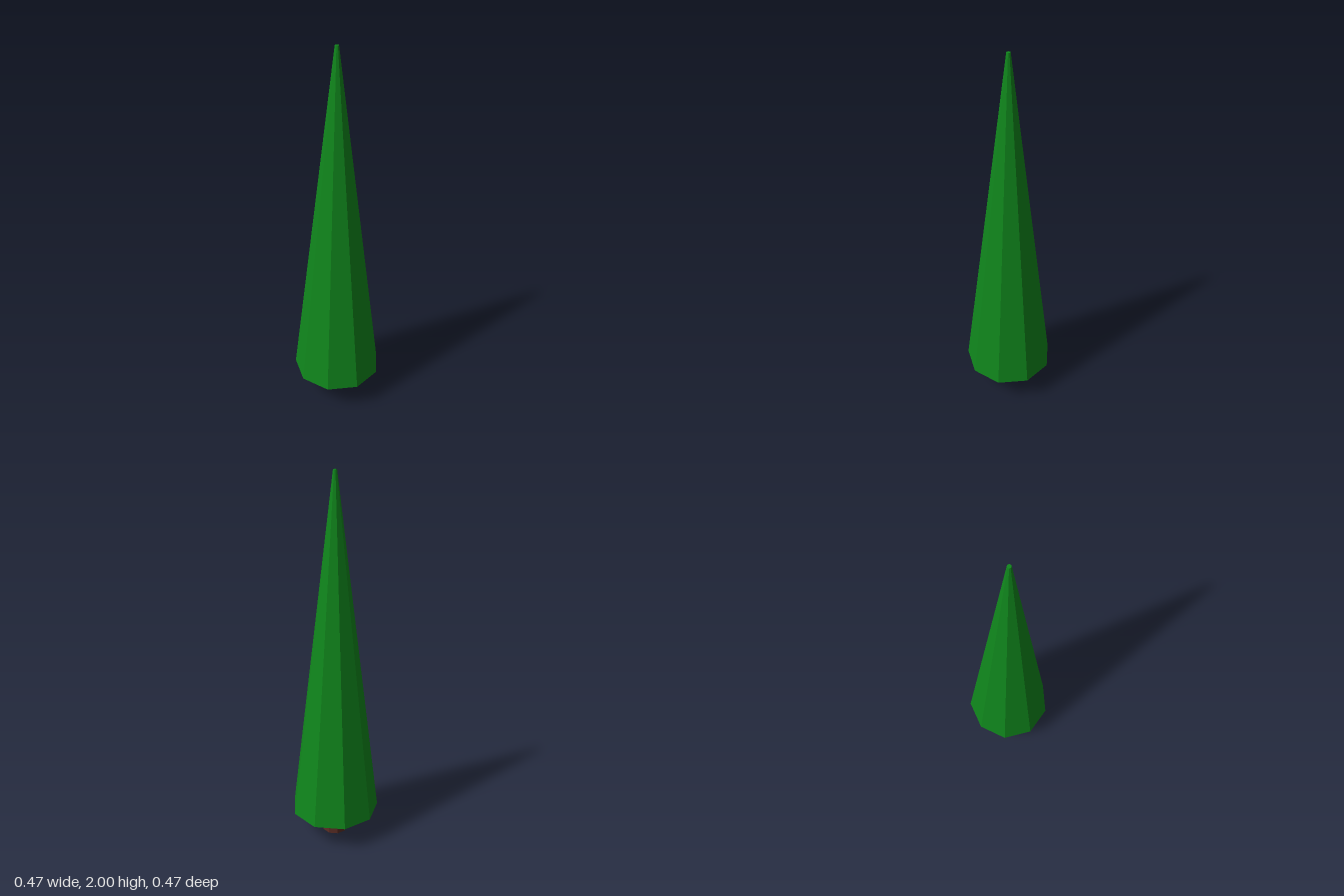
import * as THREE from 'three';

const SIDES = 9;

// Nine-sided tapered prism with one corner pointing to the back
function prism(name, topRadius, bottomRadius, y0, y1, color) {
  const geometry = new THREE.CylinderGeometry(topRadius, bottomRadius, y1 - y0, SIDES, 1, false, Math.PI);
  const material = new THREE.MeshStandardMaterial({ color, flatShading: true });
  const mesh = new THREE.Mesh(geometry, material);
  mesh.name = name;
  // the nonagon's axis sits slightly forward of its bounding-box centre
  mesh.position.set(0, (y0 + y1) / 2, 0.007);
  return mesh;
}

export function createModel() {
  const tree = new THREE.Group();
  tree.name = 'tree';
  tree.add(prism('trunk', 0.071, 0.071, 0, 0.15, 0x5a2d24));
  tree.add(prism('foliage', 0.01, 0.241, 0.15, 2, 0x10861c));
  return tree;
}
